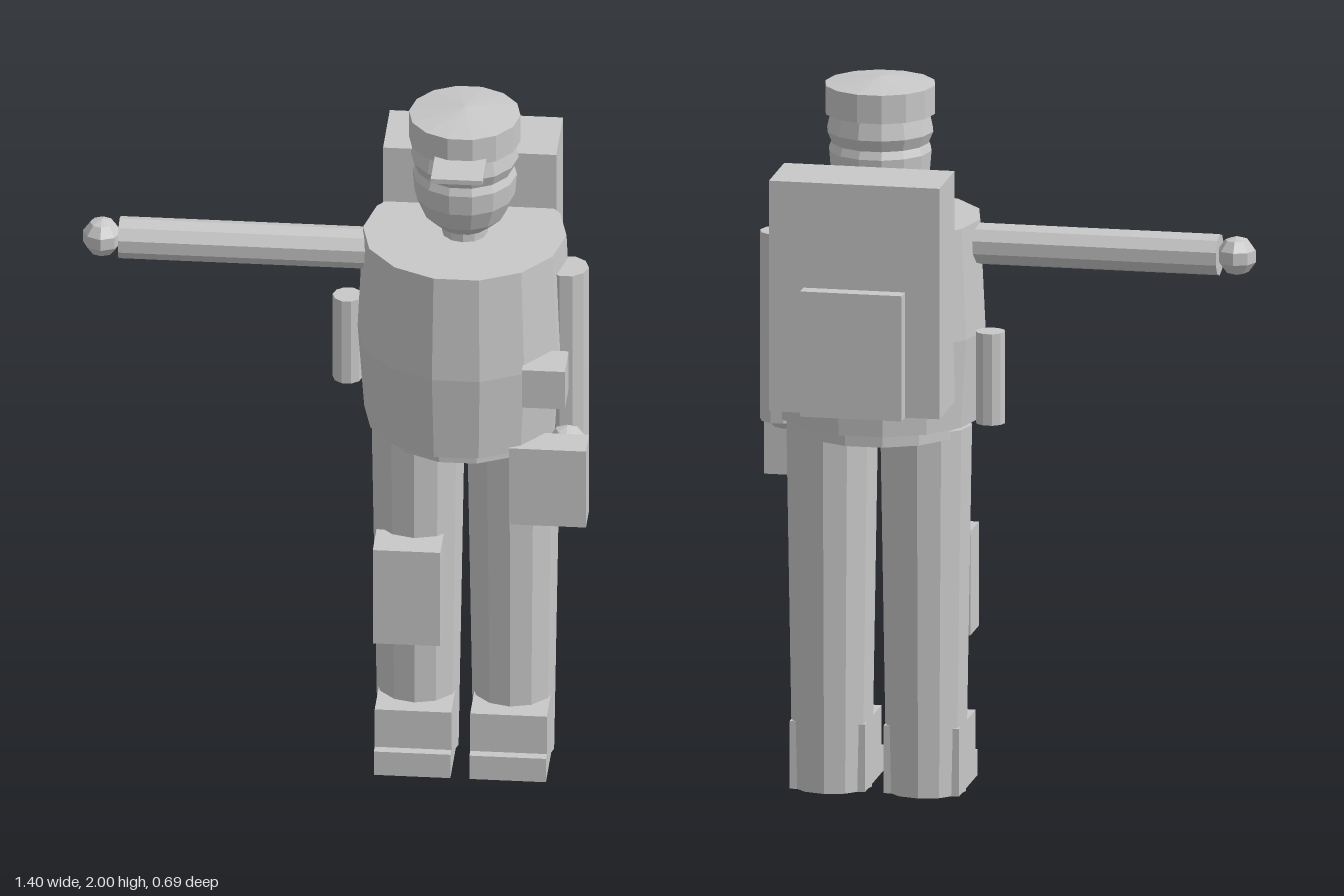
import * as THREE from 'three';

const CX = 0.347, CZ = 0.058; // body axis

export function createModel() {
  const model = new THREE.Group();
  // Double sided because torso and hips are open underneath
  const grey = new THREE.MeshStandardMaterial({ color: 0xc8c8c8, flatShading: true, side: THREE.DoubleSide });
  grey.name = 'plain grey';

  const add = (name, geometry, x = 0, y = 0, z = 0) => {
    const mesh = new THREE.Mesh(geometry, grey);
    mesh.name = name;
    mesh.position.set(x, y, z);
    model.add(mesh);
    return mesh;
  };
  // Box given by its limits on each axis
  const box = (name, x0, x1, y0, y1, z0, z1) =>
    add(name, new THREE.BoxGeometry(x1 - x0, y1 - y0, z1 - z0), (x0 + x1) / 2, (y0 + y1) / 2, (z0 + z1) / 2);
  // Upright tapered cylinder between two heights
  const post = (name, x, z, y0, y1, rBottom, rTop, sides) => {
    const g = new THREE.CylinderGeometry(rTop, rBottom, y1 - y0, sides);
    g.rotateY(Math.PI / 2);
    return add(name, g, x, (y0 + y1) / 2, z);
  };
  // Turned shape from [radius, height] pairs, bottom to top
  const turned = (name, profile) => {
    const g = new THREE.LatheGeometry(profile.map(([r, y]) => new THREE.Vector2(r, y)), 14);
    g.rotateY(Math.PI / 2);
    return add(name, g, CX, 0, CZ);
  };

  // Torso and hips, open underneath, and neck
  turned('torso', [[0.276, 1.05], [0.294, 1.3], [0.279, 1.61], [0, 1.61]]);
  turned('hips', [[0.232, 1.01], [0.232, 1.16]]);
  post('neck', CX, CZ, 1.58, 1.66, 0.063, 0.063, 12);

  // Head with brow band
  turned('head', [[0, 1.635], [0.07, 1.637], [0.112, 1.675], [0.138, 1.735], [0.143, 1.795],
    [0.134, 1.817], [0.148, 1.85], [0.136, 1.905], [0, 1.905]]);

  // Cap and visor
  turned('cap', [[0, 1.9], [0.153, 1.9], [0.153, 1.98], [0, 2]]);
  box('visor', 0.276, 0.418, 1.9, 1.914, 0.14, 0.316);

  // Legs and boots
  for (const x of [0.219, 0.481]) {
    post('leg', x, CZ, 0, 1.03, 0.111, 0.128, 12);
    box('boot', x - 0.105, x + 0.105, 0, 0.19, -0.01, 0.22);
    box('toeCap', x - 0.105, x + 0.105, 0, 0.073, 0.1, 0.247);
  }

  // Right arm held straight out, with hand
  const arm = new THREE.CylinderGeometry(0.058, 0.058, 0.74, 10);
  arm.rotateY(Math.PI / 2);
  arm.rotateZ(Math.PI / 2);
  add('rightArm', arm, -0.23, 1.543, 0.055);
  const hand = new THREE.SphereGeometry(0.055, 8, 5);
  add('rightHand', hand, -0.648, 1.543, 0.055);

  // Left arm hanging down, with hand
  post('leftArm', 0.633, 0.105, 1.01, 1.54, 0.058, 0.058, 10);
  add('leftHand', hand, 0.638, 1.022, 0.168);

  // Backpack
  box('backpack', 0.11, 0.585, 1.13, 1.778, -0.298, -0.088);
  box('backpackPocket', 0.206, 0.489, 1.13, 1.482, -0.343, -0.29);

  // Pouches and flask
  box('hipPouch', 0.526, 0.644, 1.21, 1.327, 0.2, 0.316);
  box('sideBag', 0.489, 0.7, 0.83, 1.068, 0.2, 0.294);
  box('thighPouch', 0.112, 0.297, 0.418, 0.71, 0.14, 0.257);
  post('flask', 0.015, -0.063, 1.07, 1.327, 0.041, 0.041, 10);

  return model;
}
